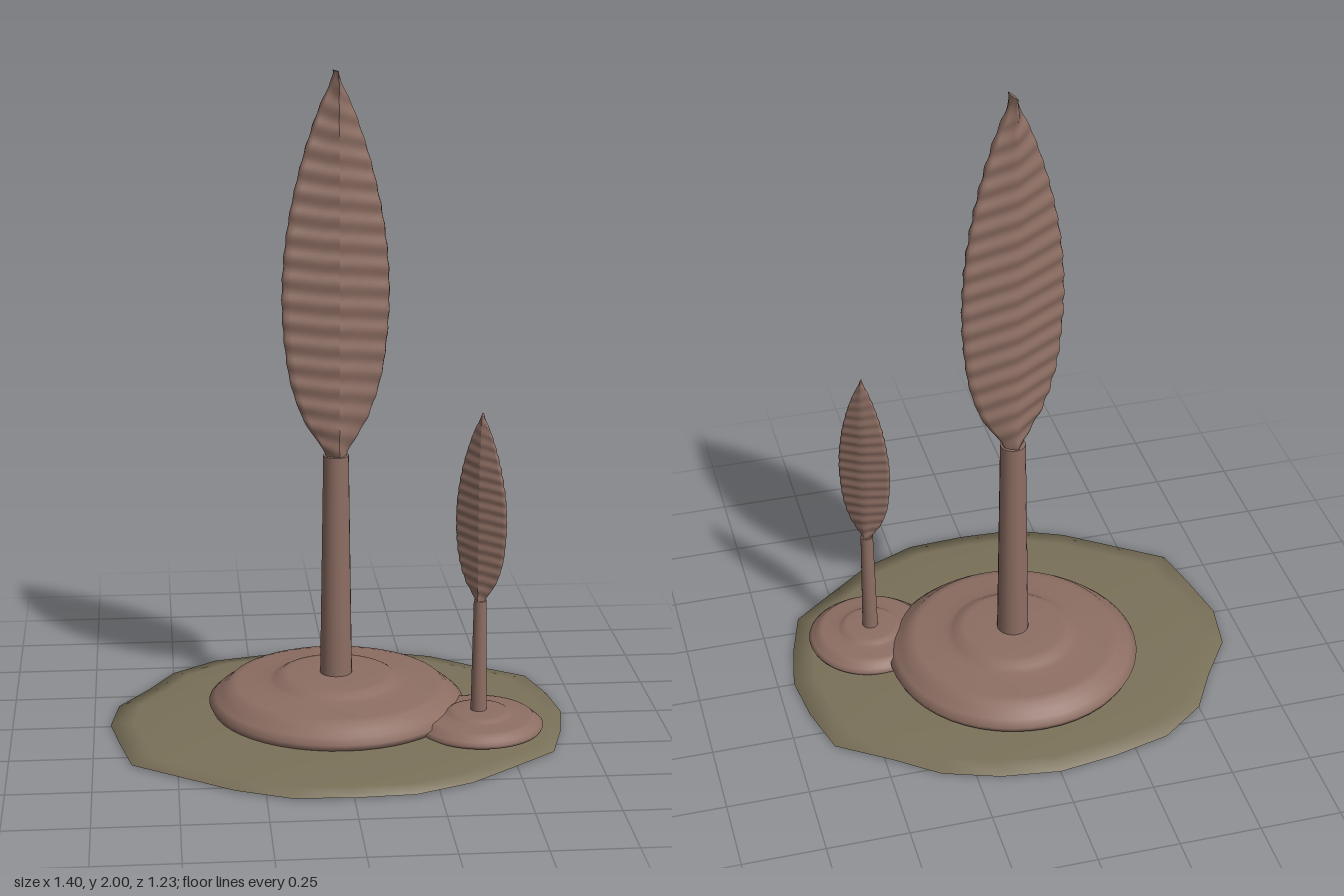
import * as THREE from 'three';

const brown = new THREE.MeshStandardMaterial({ color: 0x8d6e63 });
brown.name = 'bark brown';
const olive = new THREE.MeshStandardMaterial({ color: 0x7a7159 });
olive.name = 'olive ground';

const pts = (list) => list.map(([x, y]) => new THREE.Vector2(x, y));

// Half width of the leaf at even steps from bottom to tip
const leafOutline = new THREE.SplineCurve(pts(
  [0.03, 0.1, 0.142, 0.161, 0.169, 0.166, 0.153, 0.13, 0.098, 0.056, 0.004].map((w, i) => [i / 10, w])));

// Flat leaf: a cylinder reshaped to a rippled, diamond-section blade
function leafGeometry(tip) {
  const height = 1.17;
  const geo = new THREE.CylinderGeometry(1, 1, height, 24, 144);
  const p = geo.attributes.position;
  for (let i = 0; i < p.count; i++) {
    const s = THREE.MathUtils.clamp(p.getY(i) / height + 0.5, 0, 1);
    const c = p.getX(i), d = p.getZ(i);
    const ripple = Math.sin(s * 18 * Math.PI * 2 + c * 2.5);
    const width = leafOutline.getPoint(s).y + 0.0015 * ripple * Math.sin(s * Math.PI);
    const taper = s > 0.7 ? THREE.MathUtils.lerp(1, tip, (s - 0.7) / 0.3) : 1;
    const side = Math.abs(d) < 1e-4 ? 0 : Math.sign(d);
    const thick = (0.009 + 0.026 * (1 - Math.abs(c)) + 0.003 * ripple) * taper;
    p.setXYZ(i, c * width, s * height, side * thick);
  }
  geo.computeVertexNormals();
  return geo;
}

// Stepped mound around the foot of a trunk
const moundProfile = pts([
  [0, 0.01], [0.35, 0.015], [0.385, 0.03], [0.395, 0.05], [0.375, 0.068], [0.355, 0.08], [0.335, 0.1],
  [0.31, 0.104], [0.275, 0.106], [0.25, 0.11], [0.21, 0.113], [0.19, 0.121], [0.175, 0.131],
  [0.155, 0.135], [0.1, 0.136], [0.06, 0.138], [0, 0.138],
]);

function tree(name, x, z, scale, turn, tip) {
  const group = new THREE.Group();
  group.name = name;
  const add = (part, geo, y = 0) => {
    const mesh = new THREE.Mesh(geo, brown);
    mesh.name = part;
    mesh.position.y = y;
    group.add(mesh);
    return mesh;
  };
  add('mound', new THREE.LatheGeometry(moundProfile, 48));
  add('trunk', new THREE.CylinderGeometry(0.039, 0.05, 0.73, 20), 0.47);
  add('leaf', leafGeometry(tip), 0.83).rotation.y = turn;
  group.position.set(x, scale < 1 ? 0.01 : 0, z);
  group.scale.setScalar(scale);
  return group;
}

// Uneven ground disc, lofted inward from its rim in concentric rings
function groundGeometry() {
  const rim = pts([
    [0.7, 0], [0.68, -0.16], [0.635, -0.325], [0.48, -0.43], [0.35, -0.53], [0.18, -0.59],
    [0, -0.615], [-0.18, -0.59], [-0.36, -0.545], [-0.5, -0.44], [-0.58, -0.3], [-0.675, -0.16],
    [-0.7, 0], [-0.67, 0.16], [-0.635, 0.32], [-0.48, 0.43], [-0.34, 0.53], [-0.18, 0.6],
    [0, 0.61], [0.18, 0.6], [0.35, 0.53], [0.48, 0.43], [0.625, 0.315], [0.67, 0.16],
  ]);
  // [scale, height], from the middle of the underside to the middle of the top
  const rings = [[0, 0], [0.92, 0], [1, 0.004], [0.9, 0.013], [0.6, 0.028], [0, 0.032]];
  const n = rim.length, position = [], index = [];
  rings.forEach(([k, y]) => rim.forEach((v) => position.push(v.x * k, y, v.y * k)));
  for (let r = 0; r < rings.length - 1; r++) {
    for (let i = 0; i < n; i++) {
      const a = r * n + i, b = r * n + (i + 1) % n;
      if (r > 0) index.push(a, b, a + n);
      if (r < rings.length - 2) index.push(b, b + n, a + n);
      if (r === 0) index.push(a, b + n, a + n);
    }
  }
  const geo = new THREE.BufferGeometry();
  geo.setAttribute('position', new THREE.Float32BufferAttribute(position, 3));
  geo.setIndex(index);
  geo.computeVertexNormals();
  return geo;
}

export function createModel() {
  const model = new THREE.Group();
  model.name = 'twoTrees';
  const ground = new THREE.Mesh(groundGeometry(), olive);
  ground.name = 'ground';
  model.add(ground);
  model.add(tree('largeTree', 0, -0.06, 1, 0.23, 0.9));
  model.add(tree('smallTree', 0.42, 0.14, 0.5, -0.6, 0.35));
  return model;
}
